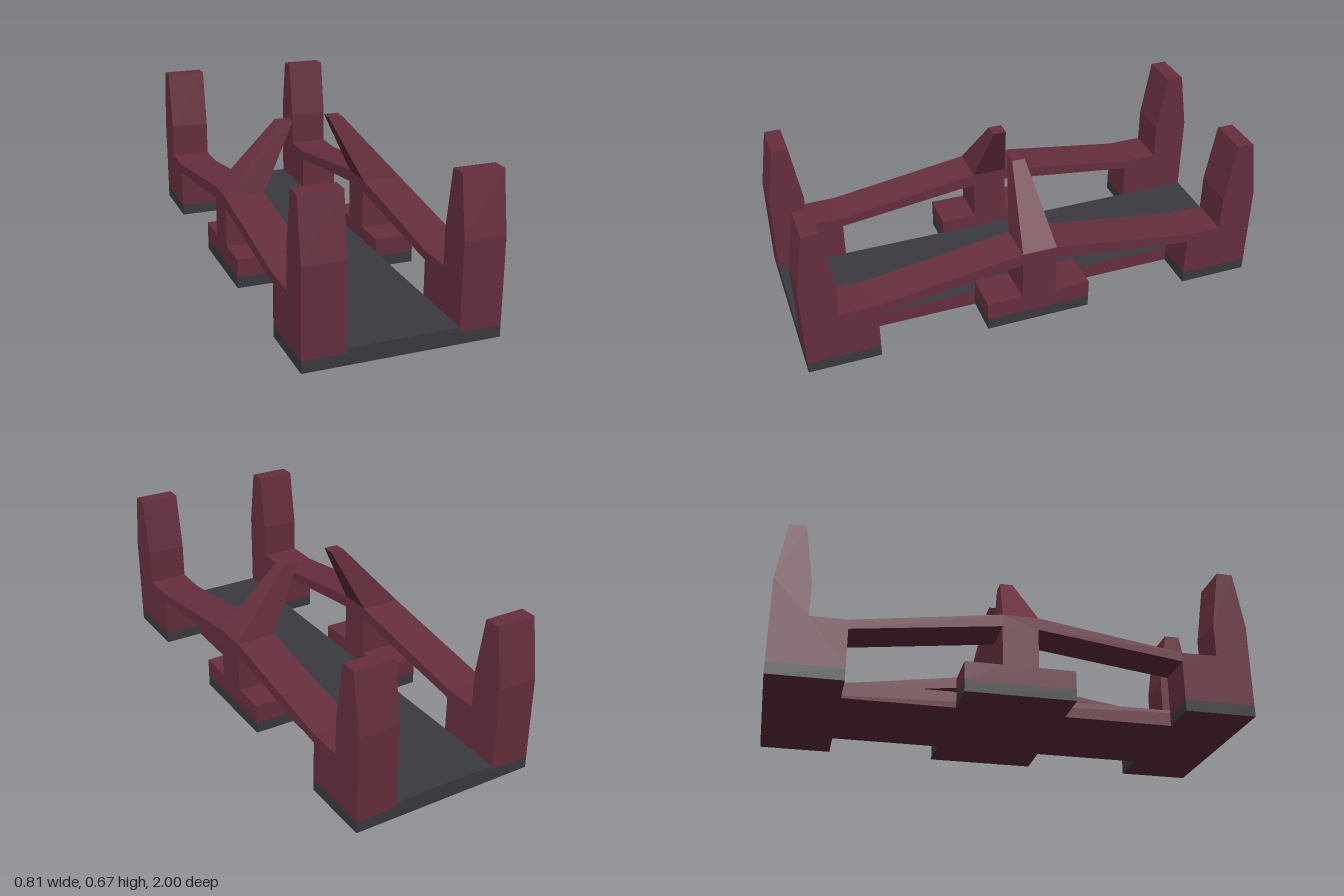
import * as THREE from 'three';

const INNER = 0.23, OUTER = 0.405, WIDTH = OUTER - INNER;
const BAND = 0.05, FLOOR = 0.07;

const maroon = new THREE.MeshStandardMaterial({ color: 0x672f3e });
maroon.name = 'maroon';
const charcoal = new THREE.MeshStandardMaterial({ color: 0x3a3a40 });
charcoal.name = 'charcoal';

function add(parent, name, geometry, material, x = 0, y = 0, z = 0) {
  const mesh = new THREE.Mesh(geometry, material);
  mesh.name = name;
  mesh.position.set(x, y, z);
  parent.add(mesh);
  return mesh;
}

// Side wall outline in (z, y): end posts, sloping rails, middle column and foot
function wallGeometry() {
  const upper = [
    [1, BAND], [1, 0.415], [0.96, 0.668], [0.89, 0.668],
    [0.85, 0.415], [0.85, 0.262], [0.695, 0.262], [0.075, 0.355],
  ];
  const lower = [
    [0.23, BAND], [0.23, 0.13], [0.075, 0.13], [0.075, 0.302], [0.695, 0.222], [0.695, BAND],
  ];
  const mirror = (pts) => pts.map(([z, y]) => [-z, y]).reverse();
  const outline = [...upper, ...mirror(upper), ...mirror(lower), ...lower];
  const shape = new THREE.Shape(outline.map(([z, y]) => new THREE.Vector2(z, y)));
  return new THREE.ExtrudeGeometry(shape, { depth: WIDTH, bevelEnabled: false })
    .rotateY(-Math.PI / 2)
    .translate(WIDTH / 2, 0, 0);
}

// Inward-leaning tapered fin above the middle column
function finGeometry(side) {
  const geometry = new THREE.BoxGeometry(1, 1, 1);
  const p = geometry.attributes.position;
  for (let i = 0; i < p.count; i++) {
    const outer = p.getX(i) * side > 0, top = p.getY(i) > 0;
    const x = top ? (outer ? 0.146 : 0.083) : (outer ? OUTER : INNER);
    p.setXYZ(i, side * x, top ? 0.646 : 0.355, Math.sign(p.getZ(i)) * (top ? 0.028 : 0.075));
  }
  geometry.computeVertexNormals();
  return geometry;
}

export function createModel() {
  const model = new THREE.Group();
  model.name = 'cradle';

  // Floor: dark top and ends, maroon sides and underside
  add(model, 'floor', new THREE.BoxGeometry(INNER * 2, FLOOR, 2),
    [maroon, maroon, charcoal, maroon, charcoal, charcoal], 0, FLOOR / 2, 0);

  for (const side of [1, -1]) {
    const half = new THREE.Group();
    half.name = side > 0 ? 'leftSide' : 'rightSide';
    model.add(half);
    const x = side * (INNER + OUTER) / 2;

    add(half, 'sideWall', wallGeometry(), maroon, x);
    add(half, 'fin', finGeometry(side), maroon);

    // Dark skirting under the posts and middle foot
    for (const [name, z, length] of [
      ['frontSkirting', 0.8475, 0.305], ['middleSkirting', 0, 0.46], ['backSkirting', -0.8475, 0.305],
    ]) {
      add(half, name, new THREE.BoxGeometry(WIDTH, BAND, length),
        [charcoal, charcoal, charcoal, maroon, charcoal, charcoal], x, BAND / 2, z);
    }
  }
  return model;
}
